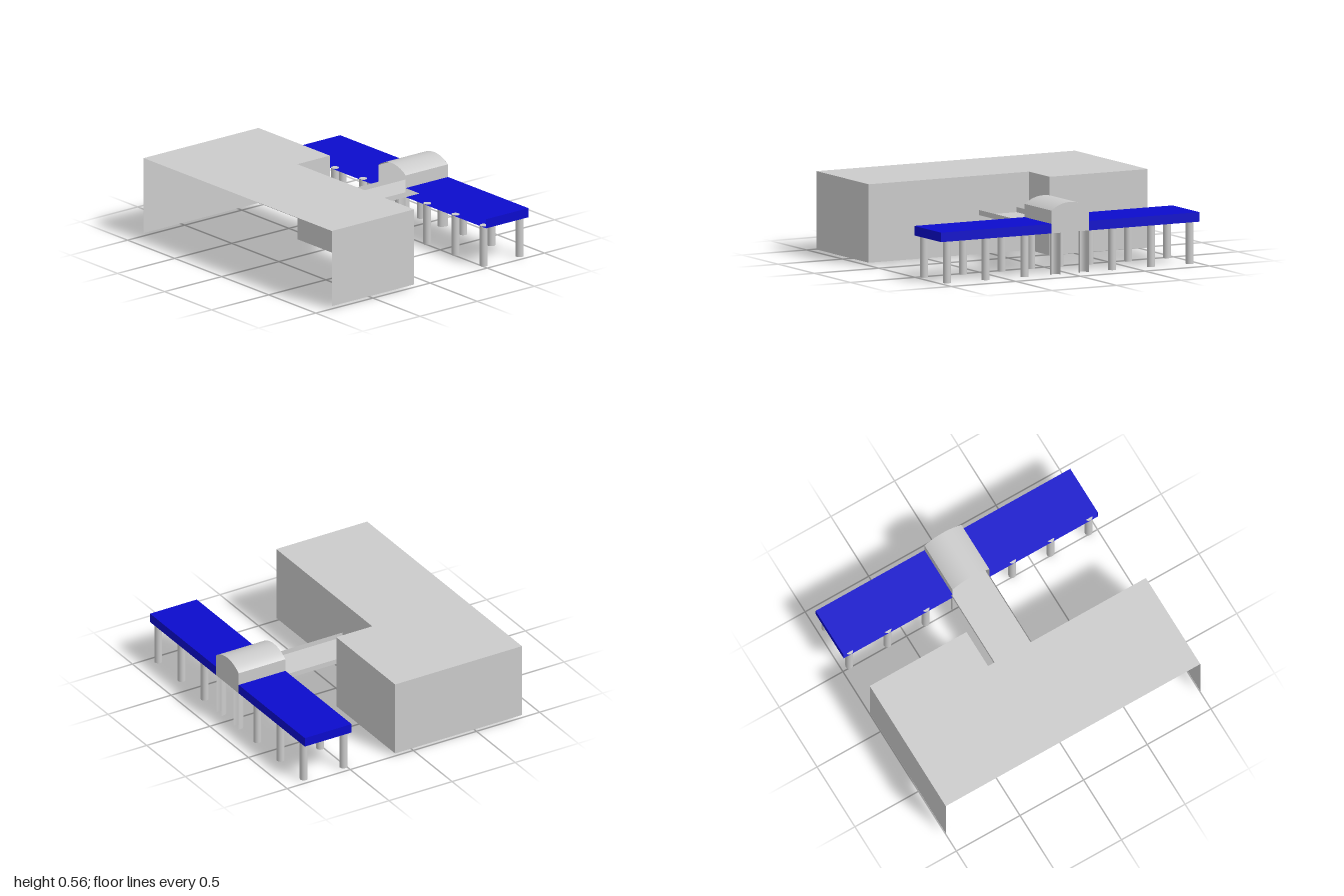
import * as THREE from 'three';

const grey = new THREE.MeshStandardMaterial({ color: 0xcbcbcb, side: THREE.DoubleSide });
grey.name = 'concrete grey';
const blue = new THREE.MeshStandardMaterial({ color: 0x0b0bcc, side: THREE.DoubleSide });
blue.name = 'canopy blue';

function add(parent, name, geometry, material, x = 0, y = 0, z = 0) {
  const mesh = new THREE.Mesh(geometry, material);
  mesh.name = name;
  mesh.position.set(x, y, z);
  parent.add(mesh);
  return mesh;
}

// Thin upright walls along a plan path of [x, z] points
function walls(path, y0, y1) {
  const pos = [];
  for (let i = 0; i + 1 < path.length; i++) {
    const [ax, az] = path[i], [bx, bz] = path[i + 1];
    pos.push(ax, y0, az, bx, y0, bz, bx, y1, bz, ax, y0, az, bx, y1, bz, ax, y1, az);
  }
  const g = new THREE.BufferGeometry();
  g.setAttribute('position', new THREE.Float32BufferAttribute(pos, 3));
  g.computeVertexNormals();
  return g;
}

// Flat horizontal sheet from a plan outline
function sheet(path) {
  const shape = new THREE.Shape(path.map(([x, z]) => new THREE.Vector2(x, z)));
  return new THREE.ShapeGeometry(shape).rotateX(Math.PI / 2);
}

export function createModel() {
  const model = new THREE.Group();
  model.name = 'station';
  const back = -0.86, front = -0.49, half = 0.145;
  const deck = 0.285, canopyTop = 0.35;

  // Main hall: L-shaped roof, walls on all sides but the open front
  const hall = new THREE.Group();
  hall.name = 'mainHall';
  model.add(hall);
  const plan = [[-1, 0.86], [-1, -0.145], [-0.24, -0.145], [-0.24, 0.14], [1, 0.14], [1, 0.86]];
  add(hall, 'hallWalls', walls(plan, 0.02, 0.555), grey);
  add(hall, 'hallRoof', sheet(plan), grey, 0, 0.555);

  // Footbridge: shallow trough running on through the tunnel
  const bridge = new THREE.Group();
  bridge.name = 'footbridge';
  model.add(bridge);
  const rect = (x0, x1, z0, z1) => [[x0, z0], [x1, z0], [x1, z1], [x0, z1]];
  add(bridge, 'bridgeFloor', sheet(rect(-half, half, back, 0.14)), grey, 0, deck);
  for (const s of [-1, 1]) {
    add(bridge, 'bridgeParapet', walls([[s * half, front], [s * half, 0.14]], deck, 0.32), grey);
  }

  // Vaulted tunnel, open to the bridge and closed at the back
  const tunnel = new THREE.Group();
  tunnel.name = 'tunnel';
  model.add(tunnel);
  const r = 0.235, axisY = 0.255, springY = 0.44;
  const a = Math.asin(half / r);
  const vault = new THREE.CylinderGeometry(r, r, front - back, 16, 1, true, Math.PI - a, 2 * a);
  add(tunnel, 'vault', vault.rotateX(Math.PI / 2), grey, 0, axisY, (front + back) / 2);
  for (const s of [-1, 1]) {
    add(tunnel, 'tunnelSide', walls([[s * half, back], [s * half, front]], deck, springY), grey);
  }
  const gable = new THREE.Shape();
  gable.moveTo(-half, deck);
  gable.lineTo(half, deck);
  gable.lineTo(half, springY);
  gable.absarc(0, axisY, r, Math.PI / 2 - a, Math.PI / 2 + a, false);
  add(tunnel, 'gable', new THREE.ShapeGeometry(gable, 16).rotateY(0), grey, 0, 0, back);

  // Half-round piers below the tunnel, hollow towards its ends
  for (const s of [-1, 1]) {
    for (const [z, start] of [[front, Math.PI / 2], [back, -Math.PI / 2]]) {
      const pier = new THREE.CylinderGeometry(1, 1, deck, 16, 1, true, start, Math.PI);
      add(tunnel, 'pier', pier.scale(0.034, 1, 0.055), grey, s * 0.11, deck / 2, z);
    }
  }

  // Two canopies, open along the front, standing on round posts
  for (const s of [-1, 1]) {
    const canopy = new THREE.Group();
    canopy.name = s > 0 ? 'leftCanopy' : 'rightCanopy';
    model.add(canopy);
    const outline = rect(s * half, s, back, front);
    add(canopy, 'canopyTop', sheet(outline), blue, 0, canopyTop);
    add(canopy, 'canopyFloor', sheet(outline), blue, 0, deck);
    add(canopy, 'canopyEdge', walls([[s * half, back], [s, back], [s, front]], deck, canopyTop), blue);
    for (const x of [0.34, 0.64, 0.94]) {
      for (const z of [front - 0.028, back + 0.028]) {
        const h = deck + 0.003;
        add(canopy, 'post', new THREE.CylinderGeometry(0.027, 0.027, h, 20), grey, s * x, h / 2, z);
      }
    }
  }
  return model;
}
